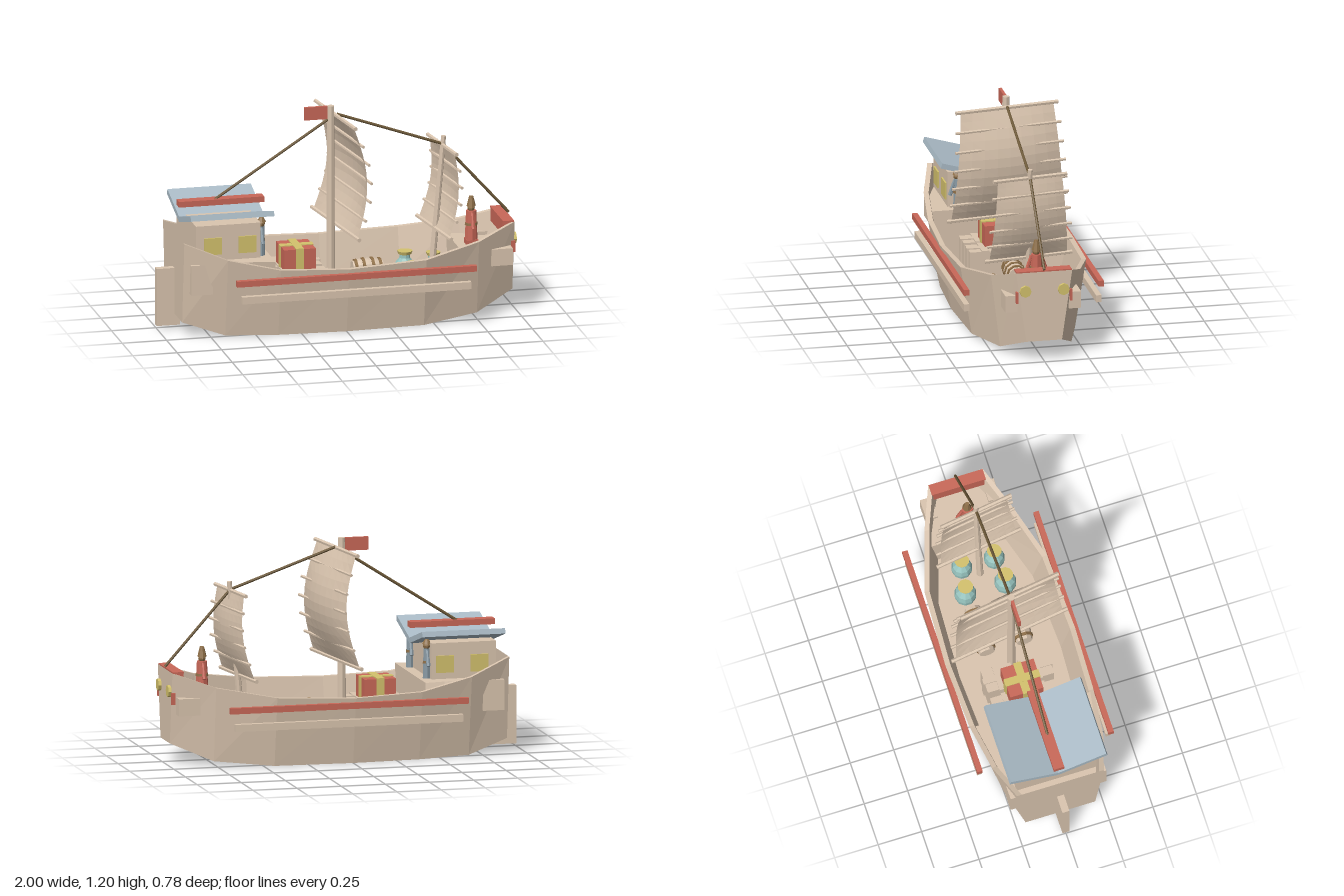
import * as THREE from 'three';

const mat = (name, color) => new THREE.MeshStandardMaterial({ name, color, side: THREE.DoubleSide, flatShading: true });

export function createModel() {
  const wood = mat('pale wood', 0xdac5af);
  const red = mat('red paint', 0xc96858);
  const blue = mat('blue roof', 0xabbcc7);
  const teal = mat('teal glaze', 0x96c2bd);
  const yellow = mat('yellow', 0xd4c26d);
  const brown = mat('rope brown', 0x6e5a3a);
  const hoop = mat('brown leather', 0x8f7049);
  const slate = mat('slate cloth', 0x8a9ba5);

  const ship = new THREE.Group();
  ship.name = 'ship';
  const add = (name, geo, m, x = 0, y = 0, z = 0, parent = ship) => {
    const mesh = new THREE.Mesh(geo, m);
    mesh.name = name;
    mesh.position.set(x, y, z);
    parent.add(mesh);
    return mesh;
  };
  // Box given by its extents
  const box = (name, m, x0, x1, y0, y1, z0, z1) =>
    add(name, new THREE.BoxGeometry(x1 - x0, y1 - y0, z1 - z0), m, (x0 + x1) / 2, (y0 + y1) / 2, (z0 + z1) / 2);
  // Round bar between two points
  const rod = (name, m, a, b, r0, r1 = r0, sides = 8) => {
    const p = new THREE.Vector3(...a), q = new THREE.Vector3(...b), d = q.clone().sub(p);
    const mesh = add(name, new THREE.CylinderGeometry(r1, r0, d.length(), sides), m);
    mesh.position.copy(p).add(q).multiplyScalar(0.5);
    mesh.quaternion.setFromUnitVectors(new THREE.Vector3(0, 1, 0), d.normalize());
  };
  // Skin of quads through a row of cross-sections
  const loft = (sections) => {
    const pos = [], idx = [], n = sections[0].length;
    sections.forEach((s, i) => s.forEach((p, j) => {
      pos.push(...p);
      if (i && j) {
        const a = (i - 1) * n + j - 1, b = i * n + j - 1;
        idx.push(a, b, b + 1, a, b + 1, a + 1);
      }
    }));
    const g = new THREE.BufferGeometry();
    g.setAttribute('position', new THREE.Float32BufferAttribute(pos, 3));
    g.setIndex(idx);
    const flat = g.toNonIndexed();
    flat.computeVertexNormals();
    return flat;
  };

  // Hull stations: x, keel height, keel half width, rim height, rim half width
  const stations = [
    [-0.9, 0.08, 0.2, 0.54, 0.25], [-0.67, 0.005, 0.25, 0.45, 0.32], [-0.38, 0, 0.29, 0.385, 0.357],
    [0, 0, 0.31, 0.37, 0.372], [0.44, 0, 0.29, 0.387, 0.352], [0.76, 0.025, 0.2, 0.44, 0.25],
    [0.983, 0.117, 0.1, 0.515, 0.157],
  ];
  const deckY = 0.125;
  const widthAt = (s, y) => s[2] + (s[4] - s[2]) * (y - s[1]) / (s[3] - s[1]);
  const stationAt = (x) => {
    const i = Math.max(1, stations.findIndex((s) => s[0] >= x));
    const a = stations[i - 1], b = stations[i], t = (x - a[0]) / (b[0] - a[0]);
    return a.map((v, k) => v + (b[k] - v) * t);
  };
  for (const k of [1, -1]) {
    const rows = stations.map((s) => {
      const row = [
        [s[0], s[1], k * s[2]], [s[0], s[3], k * s[4]], [s[0], s[3], k * (s[4] - 0.028)],
        [s[0], deckY, k * (widthAt(s, deckY) - 0.04)],
      ];
      return k > 0 ? row : row.reverse();
    });
    add('hullSide', loft(rows), wood);
  }
  for (const s of [stations[0], stations[6]]) {
    const ends = [1, -1].map((k) => [[s[0], s[1], k * s[2]], [s[0], s[3], k * s[4]]]);
    add('transom', loft(s[0] > 0 ? ends : ends.reverse()), wood);
  }
  // Decks follow the hull width; steps close the raised ones
  const across = (x, y, inset) => {
    const w = widthAt(stationAt(x), y) - inset;
    return [[x, y, w], [x, y, -w]];
  };
  const deck = (name, xs, y, inset) => add(name, loft(xs.map((x) => across(x, y, inset))), wood);
  const step = (name, x, y) => add(name, loft([across(x, y, 0.03), across(x, deckY, 0.03)]), wood);
  deck('mainDeck', stations.map((s) => s[0]), deckY, 0.04);
  deck('sternDeck', [-0.89, -0.67, -0.405], 0.43, 0.03);
  deck('foreDeck', [0.69, 0.76, 0.96], 0.36, 0.025);
  step('sternDeckStep', -0.405, 0.43);
  step('foreDeckStep', 0.69, 0.36);

  // Rails, blocks and eyes along the sides
  for (const k of [1, -1]) {
    const side = (name, m, x0, x1, y0, y1, z0, z1) =>
      box(name, m, x0, x1, y0, y1, k > 0 ? z0 : -z1, k > 0 ? z1 : -z0);
    side('redRail', red, -0.635, 0.715, 0.315, 0.348, 0.362, 0.392);
    side('lowerRail', wood, -0.605, 0.685, 0.215, 0.255, 0.355, 0.385);
    side('sternBlock', wood, -0.865, -0.745, 0.25, 0.42, 0.18, 0.275);
    side('bowBlock', wood, 0.84, 0.96, 0.285, 0.38, 0.145, 0.212);
    side('bowMark', red, 0.965, 0.988, 0.34, 0.405, 0.145, 0.156);
    const eye = add('bowEye', new THREE.CylinderGeometry(0.033, 0.033, 0.025, 8), yellow, 0.987, 0.41, k * 0.107);
    eye.rotation.z = Math.PI / 2;
  }
  box('rudder', wood, -1, -0.87, 0.015, 0.34, -0.02, 0.02);
  box('bowBeam', red, 0.918, 0.978, 0.44, 0.515, -0.145, 0.145);
  box('bowBeamCap', red, 0.918, 0.98, 0.513, 0.521, -0.155, 0.155);

  // Cabin with upswept roof halves
  box('cabin', wood, -0.83, -0.465, 0.42, 0.63, -0.23, 0.23);
  for (const k of [1, -1]) {
    for (const x of [-0.735, -0.54]) box('cabinWindow', yellow, x - 0.05, x + 0.05, 0.465, 0.56, k * 0.234 - 0.005, k * 0.234 + 0.005);
    const roof = add('roofHalf', new THREE.BoxGeometry(0.47, 0.03, 0.29), blue, -0.635, 0.65, k * 0.138);
    roof.rotation.x = -k * 0.28;
  }
  box('roofRidge', red, -0.877, -0.397, 0.685, 0.717, -0.03, 0.03);

  // Standing figures
  const figure = (name, robe, x, y, z, r, hatHeight) => {
    const g = new THREE.Group();
    g.name = name;
    g.position.set(x, y, z);
    ship.add(g);
    add('robe', new THREE.CylinderGeometry(r * 0.8, r, 0.165, 8), robe, 0, 0.0825, 0, g);
    add('belt', new THREE.CylinderGeometry(r * 0.97, r, 0.014, 8), hoop, 0, 0.09, 0, g);
    add('head', new THREE.SphereGeometry(0.021, 8, 6), hoop, 0, 0.18, 0, g);
    add('hat', new THREE.CylinderGeometry(0.012, 0.026, hatHeight, 8), hoop, 0, 0.19 + hatHeight / 2, 0, g);
    for (const k of [1, -1]) {
      const arm = add('arm', new THREE.CylinderGeometry(0.009, 0.012, 0.09, 6), robe, 0, 0.115, k * (r + 0.005), g);
      arm.rotation.x = -k * 0.3;
    }
  };
  figure('bowFigure', red, 0.775, 0.385, 0, 0.036, 0.055);
  box('figurePlinth', red, 0.742, 0.808, 0.36, 0.388, -0.033, 0.033);
  for (const k of [1, -1]) figure('cabinGuard', slate, -0.45, 0.43, k * 0.18, 0.022, 0.025);

  // Masts, flag and rigging
  rod('mainMast', wood, [-0.016, deckY, 0], [-0.016, 1.2, 0], 0.025, 0.02);
  rod('foreMast', wood, [0.543, deckY, 0], [0.62, 0.985, 0], 0.02, 0.014);
  box('flag', red, -0.165, -0.035, 1.127, 1.2, -0.008, 0.008);
  rod('sternStay', brown, [-0.67, 0.71, 0], [-0.02, 1.13, 0], 0.008);
  rod('middleStay', brown, [0.02, 1.15, 0], [0.615, 0.94, 0], 0.008);
  rod('bowStay', brown, [0.615, 0.94, 0], [0.985, 0.527, 0], 0.008);

  // Battened sails, bulging forward and turned a little
  const sail = (name, x0, x1, y0, y1, w0, w1, bulge, count) => {
    const yaw = 0.145;
    const at = (t, u, depth, grow) => {
      const z = u * (w0 + (w1 - w0) * t + grow);
      return [x0 + (x1 - x0) * t + depth * Math.sin(Math.PI * t) + z * yaw, y0 + (y1 - y0) * t, z];
    };
    const rows = [];
    for (let i = 0; i <= 12; i++) {
      const row = [];
      for (let j = 0; j <= 8; j++) {
        const u = j / 4 - 1;
        row.push(at(i / 12, u, bulge * (0.8 + 0.45 * (1 - u * u)), 0));
      }
      rows.push(row);
    }
    add(name, loft(rows), wood);
    for (let i = 0; i < count; i++) {
      const t = i / (count - 1), end = i === 0 || i === count - 1;
      rod(name + 'Batten', wood, at(t, -1, bulge, 0.027), at(t, 1, bulge, 0.027), end ? 0.012 : 0.009, undefined, 6);
    }
  };
  sail('mainSail', 0.012, 0.012, 0.525, 1.145, 0.322, 0.268, 0.08, 7);
  sail('foreSail', 0.567, 0.612, 0.465, 0.935, 0.225, 0.185, 0.045, 6);

  // Barrels lying on deck, one resting on the other two
  const barrel = (x, y, z, len, r) => {
    const g = new THREE.Group();
    g.name = 'barrel';
    g.position.set(x, y, z);
    g.rotation.z = Math.PI / 2;
    ship.add(g);
    const h = len / 2;
    const profile = [[0, -h], [r * 0.8, -h], [r * 0.96, -h / 2], [r, 0], [r * 0.96, h / 2], [r * 0.8, h], [0, h]];
    add('staves', new THREE.LatheGeometry(profile.map((p) => new THREE.Vector2(...p)), 10), wood, 0, 0, 0, g);
    for (const [f, s] of [[-0.8, 0.92], [-0.3, 1.02], [0.3, 1.02], [0.8, 0.92]])
      add('hoop', new THREE.CylinderGeometry(r * s + 0.003, r * s + 0.003, 0.016, 10), hoop, 0, f * h, 0, g);
  };
  barrel(0.21, 0.168, -0.108, 0.27, 0.056);
  barrel(0.21, 0.168, 0.108, 0.27, 0.056);
  barrel(0.19, 0.26, 0, 0.17, 0.056);

  // Lidded jars
  const jarProfile = [[0, 0], [0.042, 0], [0.058, 0.04], [0.062, 0.08], [0.054, 0.12], [0.03, 0.15], [0.028, 0.175]];
  for (const [x, z, s] of [[0.43, -0.12, 1], [0.43, 0.11, 1], [0.583, -0.092, 0.95], [0.583, 0.095, 0.95]]) {
    const g = new THREE.Group();
    g.name = 'jar';
    g.position.set(x, 0.12, z);
    g.scale.setScalar(s);
    ship.add(g);
    add('jarBody', new THREE.LatheGeometry(jarProfile.map((p) => new THREE.Vector2(...p)), 10), teal, 0, 0, 0, g);
    add('jarLid', new THREE.CylinderGeometry(0.043, 0.036, 0.018, 10), yellow, 0, 0.18, 0, g);
  }

  // Four plain crates with bands around a tied crate on its stand
  for (const i of [-1, 1])
    for (const j of [-1, 1]) {
      const x = -0.21 + i * 0.083, z = j * 0.105;
      box('plainCrate', wood, x - 0.066, x + 0.066, deckY, 0.295, z - 0.085, z + 0.085);
      box('crateBand', wood, x - 0.016, x + 0.016, deckY, 0.302, z - 0.093, z + 0.093);
      box('crateBand', wood, x - 0.074, x + 0.074, deckY, 0.302, z - 0.02, z + 0.02);
    }
  box('standAcross', wood, -0.23, -0.194, 0.115, 0.28, -0.1, 0.1);
  box('standAlong', wood, -0.305, -0.117, 0.115, 0.28, -0.02, 0.02);
  box('crate', red, -0.3, -0.122, 0.27, 0.42, -0.095, 0.095);
  box('crateStrapAcross', yellow, -0.234, -0.19, 0.272, 0.426, -0.1, 0.1);
  box('crateStrapAlong', yellow, -0.305, -0.117, 0.272, 0.425, -0.022, 0.022);
  return ship;
}
